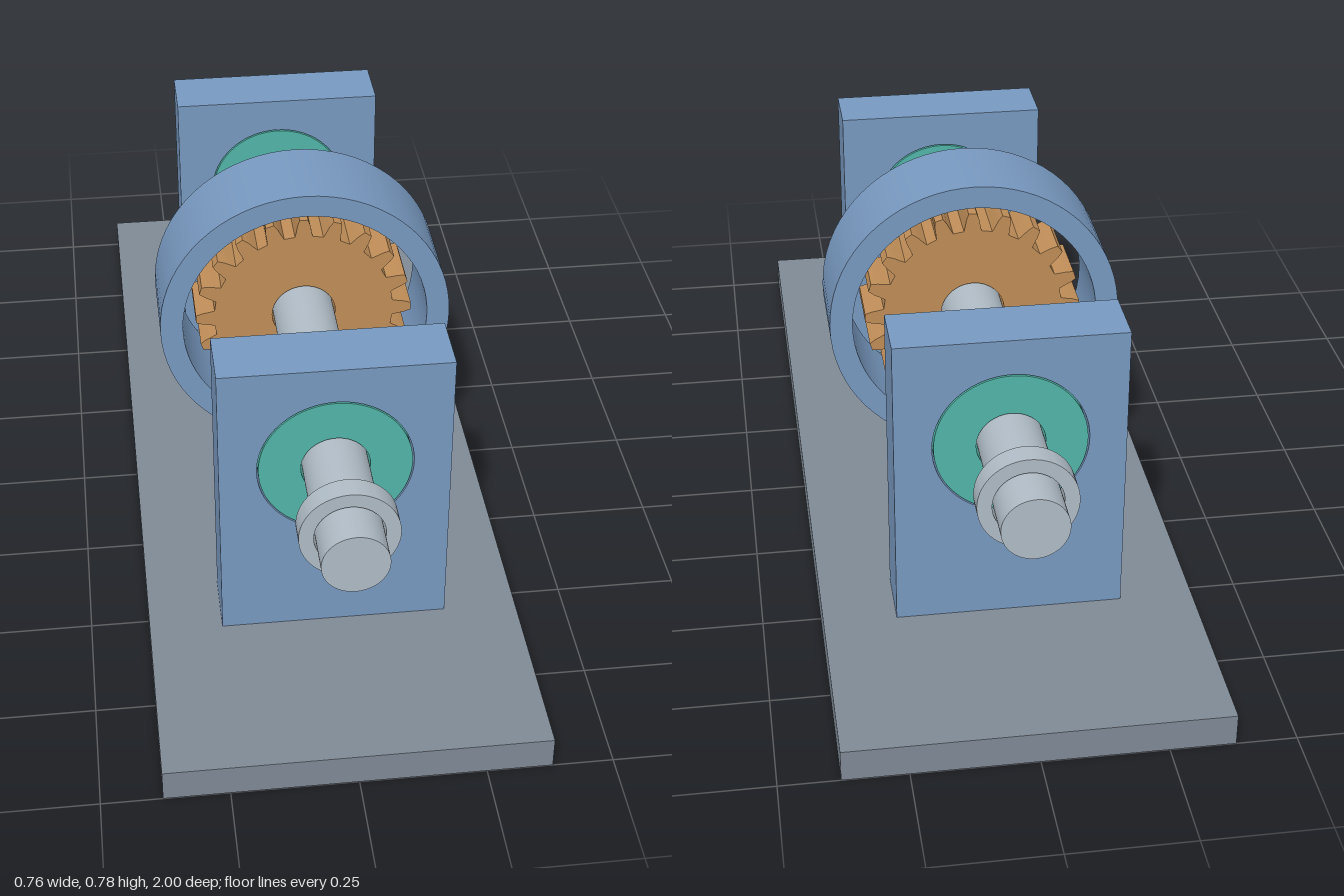
import * as THREE from 'three';
import { toCreasedNormals } from 'three/addons/utils/BufferGeometryUtils.js';

const AXIS_Y = 0.465, BORE = 0.069;

function material(name, color) {
  const m = new THREE.MeshStandardMaterial({ color });
  m.name = name;
  return m;
}

// Hollow cylinder along z
function ringGeometry(inner, outer, depth) {
  const h = depth / 2;
  const profile = [[inner, -h], [outer, -h], [outer, h], [inner, h], [inner, -h]]
    .map(([r, y]) => new THREE.Vector2(r, y));
  return toCreasedNormals(new THREE.LatheGeometry(profile, 72).rotateX(Math.PI / 2), 0.6);
}

// Shape extruded along z and centred on z = 0
function plateGeometry(shape, depth) {
  const g = new THREE.ExtrudeGeometry(shape, { depth, bevelEnabled: false, curveSegments: 36 });
  return toCreasedNormals(g.translate(0, 0, -depth / 2), 0.35);
}

function hole(radius) {
  return new THREE.Path().absarc(0, 0, radius, 0, Math.PI * 2, true);
}

// Spur gear outline: each tooth narrows from root to tip
function gearShape(teeth, root, tip) {
  const pitch = Math.PI * 2 / teeth;
  const tooth = [[-0.31, root], [-0.25, root + 0.012], [-0.2, (root + tip) / 2 + 0.006],
    [-0.12, tip], [0.12, tip], [0.2, (root + tip) / 2 + 0.006], [0.25, root + 0.012], [0.31, root]];
  const points = [];
  for (let i = 0; i < teeth; i++) {
    for (const [t, r] of tooth) {
      const a = (i + t) * pitch;
      points.push(new THREE.Vector2(r * Math.cos(a), r * Math.sin(a)));
    }
  }
  const shape = new THREE.Shape(points);
  shape.holes.push(hole(BORE));
  return shape;
}

export function createModel() {
  const model = new THREE.Group();
  model.name = 'gearShaftStand';
  const blue = material('blue housing', 0x7899c0);
  const gray = material('gray base', 0x7f8a96);
  const steel = material('light steel', 0xb0bcc6);
  const teal = material('teal bearing', 0x52b5a8);
  const bronze = material('bronze gear', 0xc08e58);

  const add = (name, geometry, mat, y, z = 0) => {
    const mesh = new THREE.Mesh(geometry, mat);
    mesh.name = name;
    mesh.position.set(0, y, z);
    model.add(mesh);
  };

  // Base plate
  add('basePlate', new THREE.BoxGeometry(0.76, 0.067, 2), gray, 0.0335);

  // Shaft, running clear of its bores
  add('shaft', new THREE.CylinderGeometry(0.0655, 0.0655, 1.8, 72).rotateX(Math.PI / 2), steel, AXIS_Y);

  // Bearing block outline with its round seat
  const bottom = 0.067 - AXIS_Y, top = 0.696 - AXIS_Y;
  const block = new THREE.Shape([[-0.231, bottom], [0.231, bottom], [0.231, top], [-0.231, top]]
    .map(([x, y]) => new THREE.Vector2(x, y)));
  block.holes.push(hole(0.156));

  // Block, bearing and collar at each end
  for (const [end, s] of [['front', 1], ['back', -1]]) {
    add(end + 'Block', plateGeometry(block, 0.134), blue, AXIS_Y, s * 0.538);
    add(end + 'Bearing', ringGeometry(BORE, 0.153, 0.134), teal, AXIS_Y, s * 0.538);
    add(end + 'Collar', ringGeometry(BORE, 0.098, 0.047), steel, AXIS_Y, s * 0.793);
  }

  // Gear inside its guard ring, with the foot below
  add('gear', plateGeometry(gearShape(20, 0.195, 0.235), 0.13), bronze, AXIS_Y);
  add('guardRing', ringGeometry(0.265, 0.314, 0.198), blue, AXIS_Y);
  add('ringFoot', new THREE.BoxGeometry(0.13, 0.118, 0.197), blue, 0.126);

  return model;
}
